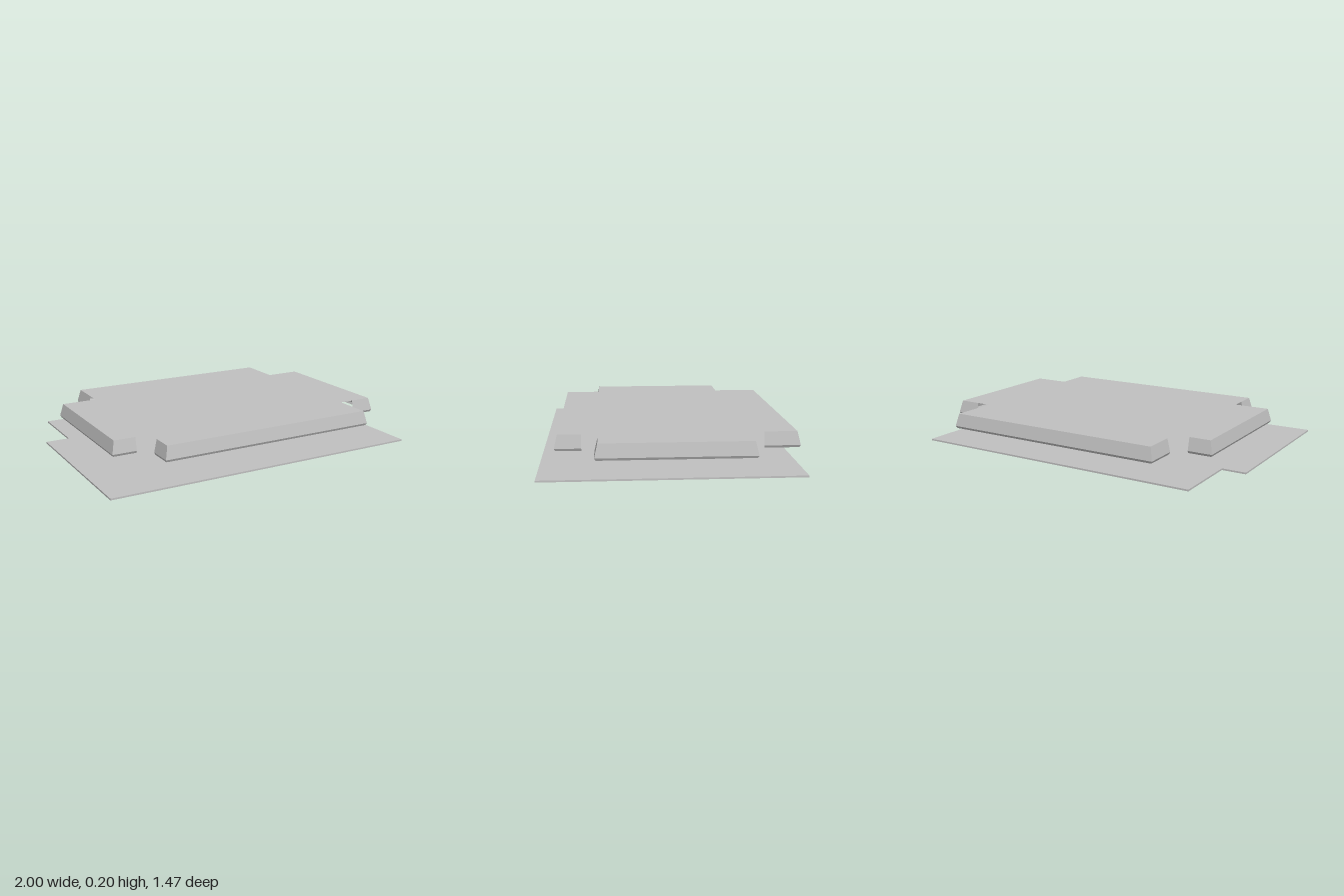
import * as THREE from 'three';

const FLARE = 0.018;
// skirt profile: [height, outward offset]
const PROFILE = [[0.204, 0], [0.127, FLARE], [0.113, FLARE - 0.007]];

// flat outline from [x, z] points
function outline(points) {
  return new THREE.Shape(points.map(([x, z]) => new THREE.Vector2(x, -z)));
}

// folded skirt along a path of [x, z, outwardX, outwardZ] corners
function skirtGeometry(path) {
  const pos = [];
  const at = ([x, z, ox, oz], [y, d]) => [x + ox * d, y, z + oz * d];
  for (let i = 0; i < path.length - 1; i++) {
    for (let j = 0; j < PROFILE.length - 1; j++) {
      const a = at(path[i], PROFILE[j]);
      const b = at(path[i], PROFILE[j + 1]);
      const c = at(path[i + 1], PROFILE[j + 1]);
      const d = at(path[i + 1], PROFILE[j]);
      pos.push(...a, ...b, ...c, ...a, ...c, ...d);
    }
  }
  const geo = new THREE.BufferGeometry();
  geo.setAttribute('position', new THREE.Float32BufferAttribute(pos, 3));
  geo.computeVertexNormals();
  return geo;
}

export function createModel() {
  const model = new THREE.Group();
  const grey = new THREE.MeshStandardMaterial({ color: 0xc0c0c0, side: THREE.DoubleSide });
  grey.name = 'plain grey';

  const add = (name, geo) => {
    const mesh = new THREE.Mesh(geo, grey);
    mesh.name = name;
    model.add(mesh);
  };

  // thin ground slab with one notched corner
  const slab = new THREE.ExtrudeGeometry(outline([
    [-1, 0.735], [0.99, 0.735], [0.99, -0.735], [-0.853, -0.735], [-0.853, -0.317], [-1, -0.317],
  ]), { depth: 0.01, bevelEnabled: false });
  slab.rotateX(-Math.PI / 2);
  add('groundSlab', slab);

  // arms of the cross-shaped roof
  const xl = -0.614, xr = 0.756, zf = 0.627, zb = -0.719;
  const armL = -0.836, armR = 0.98, armF = 0.403, armB = -0.441;

  const roof = new THREE.ShapeGeometry(outline([
    [xl, zf], [xr, zf], [xr, armF], [armR, armF], [armR, armB], [xr, armB],
    [xr, zb], [xl, zb], [xl, armB], [armL, armB], [armL, armF], [xl, armF],
  ]));
  roof.rotateX(-Math.PI / 2);
  roof.translate(0, PROFILE[0][0], 0);
  add('roof', roof);

  // skirts wrap each arm's end and stop short of the inner corners
  add('frontSkirt', skirtGeometry([
    [xl, 0.494, -1, 0], [xl, zf, -1, 1], [xr, zf, 1, 1], [xr, 0.494, 1, 0],
  ]));
  add('leftSkirt', skirtGeometry([
    [0.846, armF, 0, 1], [armR, armF, 1, 1], [armR, armB, 1, -1], [0.846, armB, 0, -1],
  ]));
  add('backSkirt', skirtGeometry([
    [xr, -0.53, 1, 0], [xr, zb, 1, -1], [xl, zb, -1, -1], [xl, -0.53, -1, 0],
  ]));
  add('rightSkirt', skirtGeometry([
    [-0.705, armB, 0, -1], [armL, armB, -1, -1], [armL, armF, -1, 1], [-0.705, armF, 0, 1],
  ]));

  return model;
}
